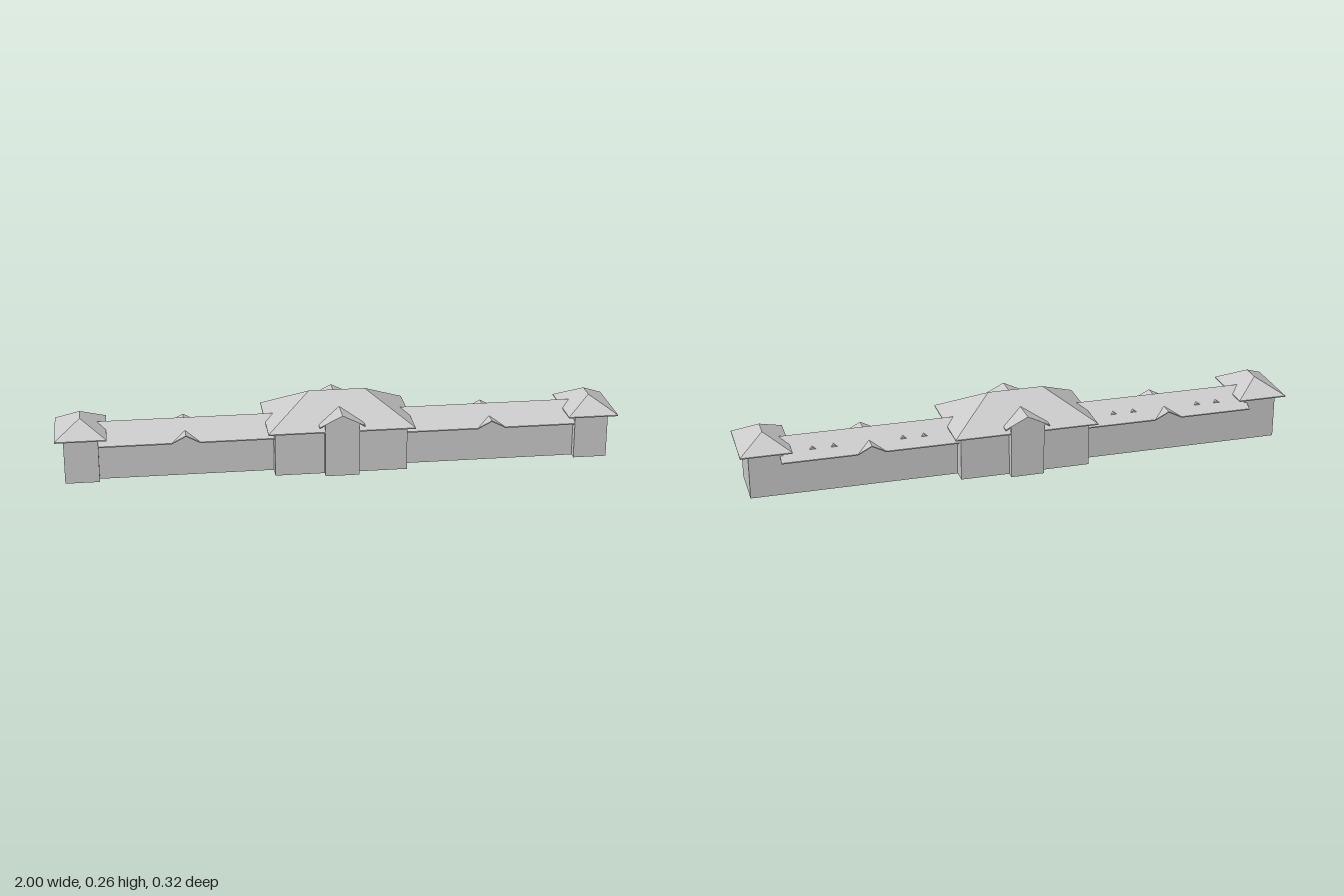
import * as THREE from 'three';

const material = new THREE.MeshStandardMaterial({ color: 0xcccccc, flatShading: true, side: THREE.DoubleSide });

// Mesh from convex polygons, each a list of [x, y, z] corners
function polyMesh(name, polygons) {
  const pos = [];
  for (const p of polygons) {
    for (let i = 1; i < p.length - 1; i++) pos.push(...p[0], ...p[i], ...p[i + 1]);
  }
  const geo = new THREE.BufferGeometry();
  geo.setAttribute('position', new THREE.Float32BufferAttribute(pos, 3));
  geo.computeVertexNormals();
  const mesh = new THREE.Mesh(geo, material);
  mesh.name = name;
  return mesh;
}

// Thin roof sheets: every polygon gets an underside and edges
function slab(name, polygons, t = 0.004) {
  const faces = [];
  for (const p of polygons) {
    const low = p.map(([x, y, z]) => [x, y - t, z]);
    faces.push(p, [...low].reverse());
    p.forEach((a, i) => {
      const j = (i + 1) % p.length;
      faces.push([a, low[i], low[j], p[j]]);
    });
  }
  return polyMesh(name, faces);
}

// Upright walls along a plan line of [x, z] points
function walls(name, line, y0, y1) {
  const faces = [];
  for (let i = 0; i < line.length - 1; i++) {
    const [[ax, az], [bx, bz]] = [line[i], line[i + 1]];
    faces.push([[ax, y0, az], [bx, y0, bz], [bx, y1, bz], [ax, y1, az]]);
  }
  return polyMesh(name, faces);
}

// Closed hip roof, ridge along x, with a thin vertical eave edge
function hipRoof(name, halfLength, halfDepth, halfRidge, eave, top) {
  const corners = [[-1, 1], [1, 1], [1, -1], [-1, -1]];
  const ring = (y) => corners.map(([x, z]) => [x * halfLength, y, z * halfDepth]);
  const low = ring(eave - 0.004);
  const up = ring(eave);
  const a = [-halfRidge, top, 0];
  const b = [halfRidge, top, 0];
  const faces = [
    [...low].reverse(),
    [up[0], up[1], b, a], [up[1], up[2], b], [up[2], up[3], a, b], [up[3], up[0], a],
  ];
  for (let i = 0; i < 4; i++) {
    const j = (i + 1) % 4;
    faces.push([low[i], low[j], up[j], up[i]]);
  }
  return polyMesh(name, faces);
}

const WALL = 0.163;
const EAVE_Z = 0.107, EAVE_Y = 0.132, RIDGE_Y = 0.186;
const DORMER_X = 0.545, DORMER_Y = 0.158;
const roofZ = (y) => EAVE_Z * (RIDGE_Y - y) / (RIDGE_Y - EAVE_Y);
const roofY = (z) => RIDGE_Y - (RIDGE_Y - EAVE_Y) * z / EAVE_Z;

// One slope of a wing roof, notched for its dormer (s: x side, f: z side)
function wingSlope(s, f) {
  const [x0, x1, d, w] = [0.215, 0.86, DORMER_X, 0.05];
  const tip = [s * d, DORMER_Y, f * roofZ(DORMER_Y)];
  const front = [s * d, DORMER_Y, f * EAVE_Z];
  const eave = (x) => [s * x, EAVE_Y, f * EAVE_Z];
  const ridge = (x) => [s * x, RIDGE_Y, 0];
  return slab('wingRoof', [
    [eave(x0), eave(d - w), tip, ridge(d), ridge(x0)],
    [eave(x1), eave(d + w), tip, ridge(d), ridge(x1)],
    [eave(d - w), front, tip],
    [eave(d + w), front, tip],
  ]);
}

// Tiny gabled vent on the rear slope
function roofVent(x) {
  const z = 0.066, top = 0.16, w = 0.012;
  const peak = [x, top, -z];
  const back = [x, top, -roofZ(top)];
  const left = [x - w, roofY(z), -z];
  const right = [x + w, roofY(z), -z];
  return polyMesh('roofVent', [[left, peak, back], [peak, right, back], [left, right, peak]]);
}

export function createModel() {
  const model = new THREE.Group();

  for (const s of [1, -1]) {
    const wing = new THREE.Group();
    wing.name = s > 0 ? 'leftWing' : 'rightWing';
    const side = (pts) => pts.map(([x, z]) => [s * x, z]);

    for (const f of [1, -1]) {
      // Long wall with the small gable below the dormer
      wing.add(walls('wingWall', side([[0.235, f * 0.079], [0.85, f * 0.079]]), 0, 0.144));
      wing.add(polyMesh('dormerGable', [[
        [s * (DORMER_X - 0.025), 0.142, f * 0.079],
        [s * (DORMER_X + 0.025), 0.142, f * 0.079],
        [s * DORMER_X, DORMER_Y - 0.003, f * 0.079],
      ]]));
      wing.add(wingSlope(s, f));
      // Centre block walls
      model.add(walls('centreWall', side([[0.06, f * 0.132], [0.235, f * 0.132], [0.235, f * 0.079]]), 0, WALL));
    }
    for (const x of [0.35, 0.425, 0.67, 0.745]) wing.add(roofVent(s * x));

    // Walls rising above the wing roof at both of its ends
    for (const x of [0.235, 0.85]) {
      wing.add(walls('upperEndWall', side([[x, -0.079], [x, 0.079]]), 0.142, WALL));
    }

    // End pavilion
    const pavilion = new THREE.Group();
    pavilion.name = 'endPavilion';
    pavilion.add(walls('pavilionWall', side([
      [0.85, 0.079], [0.85, 0.107], [0.97, 0.107], [0.97, -0.079], [0.85, -0.079],
    ]), 0, WALL));
    const roof = hipRoof('pavilionRoof', 0.12, 0.09, 0.035, 0.167, 0.22);
    roof.rotation.y = Math.PI / 2;
    roof.position.set(s * 0.91, 0, 0.014);
    pavilion.add(roof);
    wing.add(pavilion);
    model.add(wing);
  }

  // Main hip roof
  model.add(hipRoof('centreRoof', 0.26, 0.16, 0.1, 0.167, 0.265));

  // Porches front and back, under one gabled cross roof
  const zP = 0.161;
  for (const f of [1, -1]) {
    const porch = new THREE.Group();
    porch.name = f > 0 ? 'frontPorch' : 'backPorch';
    for (const s of [1, -1]) {
      porch.add(walls('porchSide', [[s * 0.06, f * 0.132], [s * 0.06, f * zP]], 0, 0.189));
      porch.add(slab('porchRoof', [[
        [s * 0.08, 0.185, f * zP], [0, 0.225, f * zP],
        [0, 0.225, f * 0.05], [s * 0.08, 0.185, f * 0.1],
      ]]));
    }
    porch.add(polyMesh('porchGable', [[
      [-0.06, 0, f * zP], [0.06, 0, f * zP], [0.06, 0.192, f * zP],
      [0, 0.222, f * zP], [-0.06, 0.192, f * zP],
    ]]));
    model.add(porch);
  }

  return model;
}
